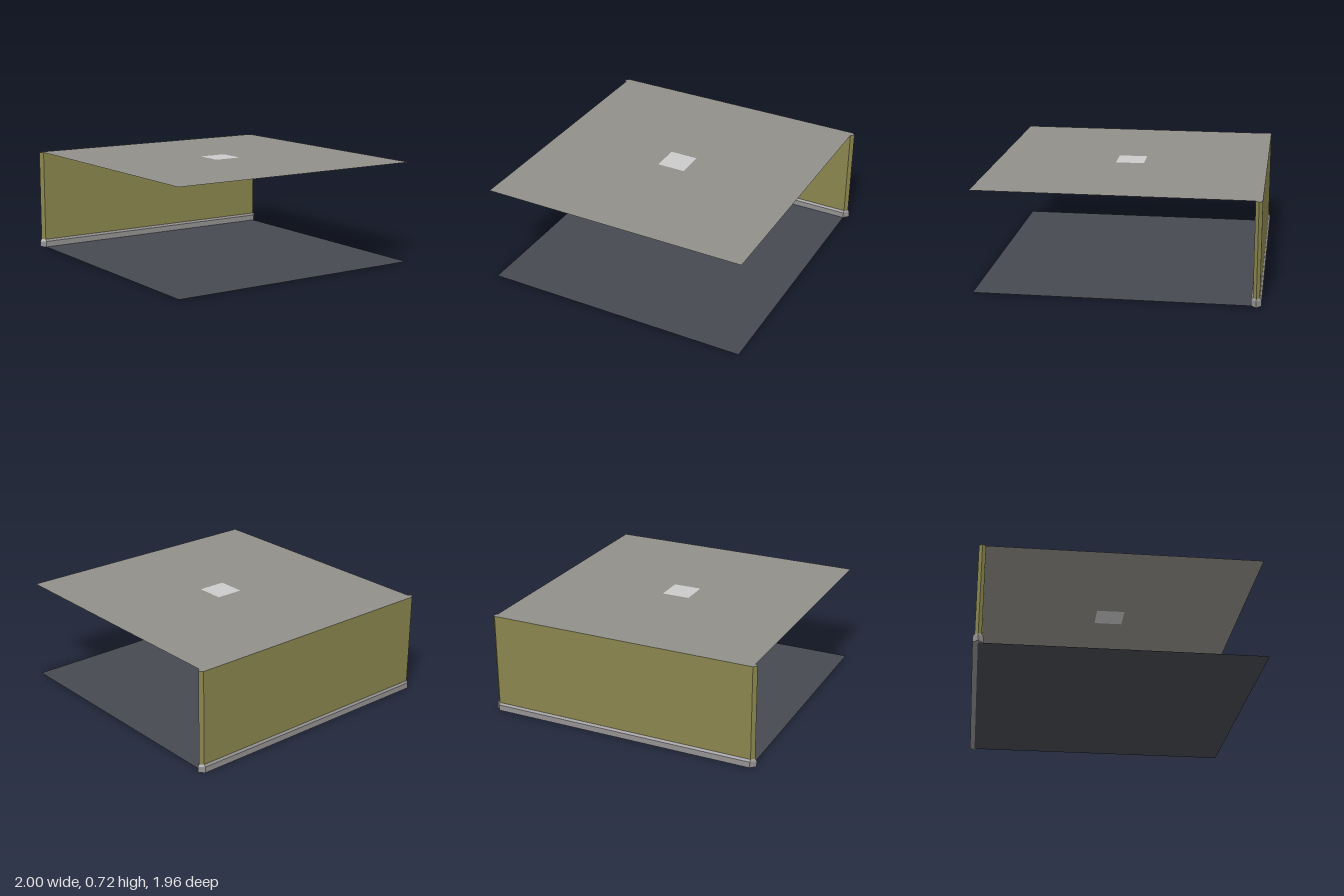
import * as THREE from 'three';

const HALF = 0.965;      // half width of floor, ceiling and wall core
const WALL_Z = -0.946;   // centre line of the wall
const FRONT_Z = 0.98;
const HEIGHT = 0.724;

const mat = (name, color, side = THREE.FrontSide) => {
  const m = new THREE.MeshStandardMaterial({ color, side });
  m.name = name;
  return m;
};

// Hexagonal plan with mitred, pointed ends; d is half the thickness
const plan = (d) => [
  [-HALF, d], [HALF, d], [HALF + d, 0], [HALF, -d], [-HALF, -d], [-HALF - d, 0],
];

// Stack of plan sections [halfThickness, y]; group 0 = sides, group 1 = caps
function loftWall(levels) {
  const pos = [];
  const rings = levels.map(([d, y]) => plan(d).map(([x, z]) => [x, y, z]));
  for (let k = 0; k < rings.length - 1; k++) {
    for (let i = 0; i < 6; i++) {
      const j = (i + 1) % 6;
      const [a, b, c, d] = [rings[k][i], rings[k][j], rings[k + 1][j], rings[k + 1][i]];
      pos.push(...a, ...b, ...c, ...a, ...c, ...d);
    }
  }
  const sideCount = pos.length / 3;
  const [bottom, top] = [rings[0], rings[rings.length - 1]];
  for (let i = 1; i < 5; i++) {
    pos.push(...top[0], ...top[i], ...top[i + 1]);
    pos.push(...bottom[0], ...bottom[i + 1], ...bottom[i]);
  }
  const g = new THREE.BufferGeometry();
  g.setAttribute('position', new THREE.Float32BufferAttribute(pos, 3));
  g.addGroup(0, sideCount, 0);
  g.addGroup(sideCount, pos.length / 3 - sideCount, 1);
  g.computeVertexNormals();
  return g;
}

// Rectangle outline in plan, centred on the origin
function square(Kind, w, h) {
  const s = new Kind();
  s.moveTo(-w / 2, -h / 2);
  s.lineTo(w / 2, -h / 2);
  s.lineTo(w / 2, h / 2);
  s.lineTo(-w / 2, h / 2);
  s.closePath();
  return s;
}

export function createModel() {
  const group = new THREE.Group();
  const ceilingGrey = mat('ceiling grey', 0x918f89, THREE.DoubleSide);
  const floorSlate = mat('floor slate', 0x464a50, THREE.DoubleSide);
  const wallOlive = mat('wall olive', 0x89854d);
  const trimGrey = mat('trim grey', 0x949191);
  const lampWhite = mat('lamp pale grey', 0xcbcbcb, THREE.DoubleSide);

  const add = (name, geometry, material, y, z) => {
    const mesh = new THREE.Mesh(geometry, material);
    mesh.name = name;
    mesh.position.set(0, y, z);
    group.add(mesh);
  };

  const depth = FRONT_Z - WALL_Z;
  const midZ = (FRONT_Z + WALL_Z) / 2;
  const lamp = 0.204;

  // Floor sheet
  add('floor', new THREE.PlaneGeometry(HALF * 2, depth).rotateX(-Math.PI / 2), floorSlate, 0, midZ);

  // Ceiling sheet with an opening for the lamp panel
  const sheet = square(THREE.Shape, HALF * 2, depth);
  sheet.holes.push(square(THREE.Path, lamp, lamp));
  add('ceiling', new THREE.ShapeGeometry(sheet).rotateX(-Math.PI / 2), ceilingGrey, HEIGHT, midZ);
  add('ceilingLamp', new THREE.PlaneGeometry(lamp, lamp).rotateX(-Math.PI / 2), lampWhite, HEIGHT, midZ);

  // Back wall with pointed ends and a grey top
  add('backWall', loftWall([[0.0235, 0.05], [0.0235, HEIGHT - 0.001]]), [wallOlive, ceilingGrey], 0, WALL_Z);

  // Skirting with a sloped upper edge
  add('skirting', loftWall([[0.035, 0.001], [0.035, 0.043], [0.0236, 0.058]]), [trimGrey, trimGrey], 0, WALL_Z);

  return group;
}
